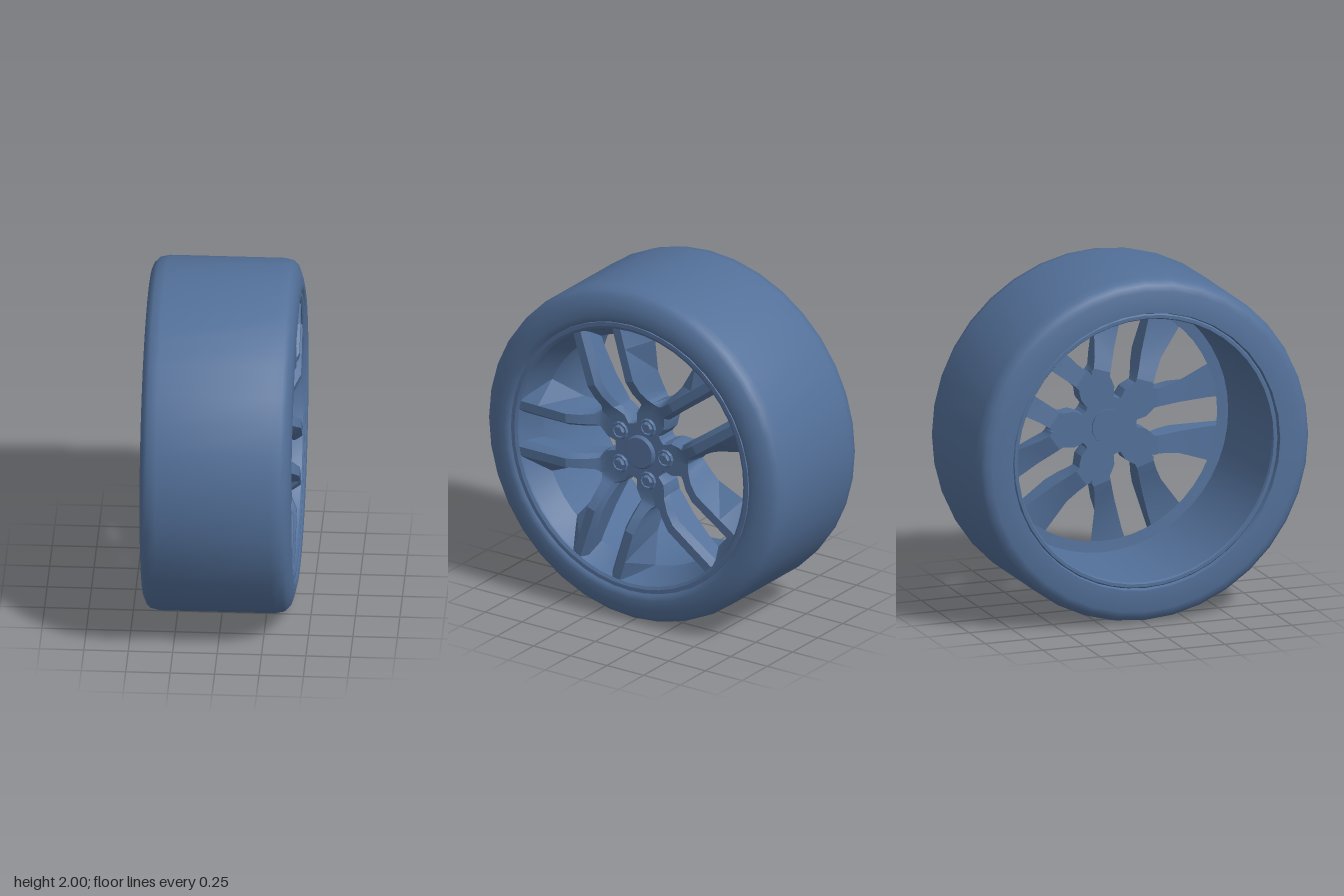
import * as THREE from 'three';
import { toCreasedNormals } from 'three/addons/utils/BufferGeometryUtils.js';

const material = new THREE.MeshStandardMaterial({ color: 0x537099 });

function addMesh(parent, name, geometry, crease = 0.5) {
  const mesh = new THREE.Mesh(toCreasedNormals(geometry, crease), material);
  mesh.name = name;
  parent.add(mesh);
  return mesh;
}

// Revolves [radius, x] points around the x axis
function revolve(points, segments) {
  const profile = points.map(([r, x]) => new THREE.Vector2(r, x));
  return new THREE.LatheGeometry(profile, segments).rotateZ(-Math.PI / 2);
}

// Spoke cross-sections from rim to hub:
// [distance from axle, front x, back x, front inner, front outer, back inner, back outer]
const stations = [
  [0.785, 0.398, 0.265, 0.115, 0.167, 0.085, 0.3],
  [0.63, 0.402, 0.26, 0.113, 0.165, 0.085, 0.28],
  [0.44, 0.405, 0.22, 0.11, 0.163, 0.085, 0.21],
  [0.36, 0.37, 0.19, 0.107, 0.163, 0.085, 0.195],
  [0.3, 0.325, 0.17, 0.104, 0.168, 0.084, 0.19],
  [0.275, 0.308, 0.17, 0.1, 0.18, 0.08, 0.195],
  [0.262, 0.303, 0.17, 0.085, 0.19, 0.065, 0.19],
  [0.225, 0.3, 0.17, 0.045, 0.1635, 0.035, 0.1635],
  [0.172, 0.3, 0.17, 0.03, 0.125, 0.022, 0.125],
  [0.168, 0.3, 0.17, 0, 0.1221, 0, 0.1221],
  [0.06, 0.3, 0.17, 0, 0.0436, 0, 0.0436],
];

// Lofts one spoke; side = 1 or -1 mirrors it across the pair's centre line
function spokeGeometry(side) {
  const position = [];
  const index = [];
  const n = 5;
  stations.forEach(([along, xf, xb, inF, outF, inB, outB], i) => {
    const bevel = Math.min(0.04, inF);
    const section = [[xf - bevel, inB], [xf, inF], [xf, outF], [xb, outB], [xb, inB]];
    for (const [x, across] of section) position.push(x, across * side, -along);
    if (i === 0) return;
    for (let j = 0; j < n; j++) {
      const k = (j + 1) % n;
      const a = (i - 1) * n + j, b = (i - 1) * n + k;
      const c = i * n + k, d = i * n + j;
      if (side > 0) index.push(a, b, c, a, c, d);
      else index.push(a, c, b, a, d, c);
    }
  });
  const geometry = new THREE.BufferGeometry();
  geometry.setAttribute('position', new THREE.Float32BufferAttribute(position, 3));
  geometry.setIndex(index);
  return geometry;
}

export function createModel() {
  const wheel = new THREE.Group();
  wheel.name = 'wheel';
  const body = new THREE.Group();
  body.name = 'wheelBody';
  body.position.y = 1;
  wheel.add(body);

  // Tyre with rounded shoulders, from the rear bead to the front bead
  addMesh(body, 'tyre', revolve([
    [0.795, -0.395], [0.805, -0.427], [0.93, -0.427], [0.965, -0.412], [0.988, -0.388], [1, -0.335],
    [1, 0.31], [0.988, 0.365], [0.96, 0.392], [0.91, 0.41], [0.85, 0.423], [0.82, 0.415], [0.8, 0.39],
  ], 36), 0.8);

  // Rim: front lip, seat for the spokes, rear-facing step, open barrel, rear lip
  addMesh(body, 'rim', revolve([
    [0.815, 0.38], [0.808, 0.41], [0.785, 0.41], [0.768, 0.4], [0.765, 0.385],
    [0.69, 0.26], [0.755, 0.255], [0.765, -0.4], [0.772, -0.412], [0.79, -0.412], [0.8, -0.4],
  ], 48));

  // Five pairs of flared spokes, merging into the hub
  const spokes = [spokeGeometry(1), spokeGeometry(-1)];
  for (let i = 0; i < 5; i++) {
    const pair = new THREE.Group();
    pair.name = 'spokePair';
    pair.rotation.x = THREE.MathUtils.degToRad(36 + 72 * i);
    addMesh(pair, 'leftSpoke', spokes[0], 0.3);
    addMesh(pair, 'rightSpoke', spokes[1], 0.3);
    body.add(pair);
  }

  // Hub core and centre cap
  addMesh(body, 'hubCap', revolve([
    [0, 0.16], [0.1, 0.16], [0.1, 0.312], [0.09, 0.322], [0, 0.322],
  ], 28));

  // Lug nuts in raised collars, between the spoke pairs
  const collar = revolve([[0.054, 0.29], [0.054, 0.31], [0.05, 0.316], [0.04, 0.316], [0.036, 0.295]], 10);
  const nut = revolve([[0.034, 0.29], [0.034, 0.316], [0.027, 0.324], [0, 0.324]], 6);
  for (let i = 0; i < 5; i++) {
    const lug = new THREE.Group();
    lug.name = 'lug';
    const angle = THREE.MathUtils.degToRad(72 * i);
    lug.position.set(0, 0.17 * Math.sin(angle), -0.17 * Math.cos(angle));
    addMesh(lug, 'lugCollar', collar);
    addMesh(lug, 'lugNut', nut, 0.3);
    body.add(lug);
  }

  return wheel;
}
